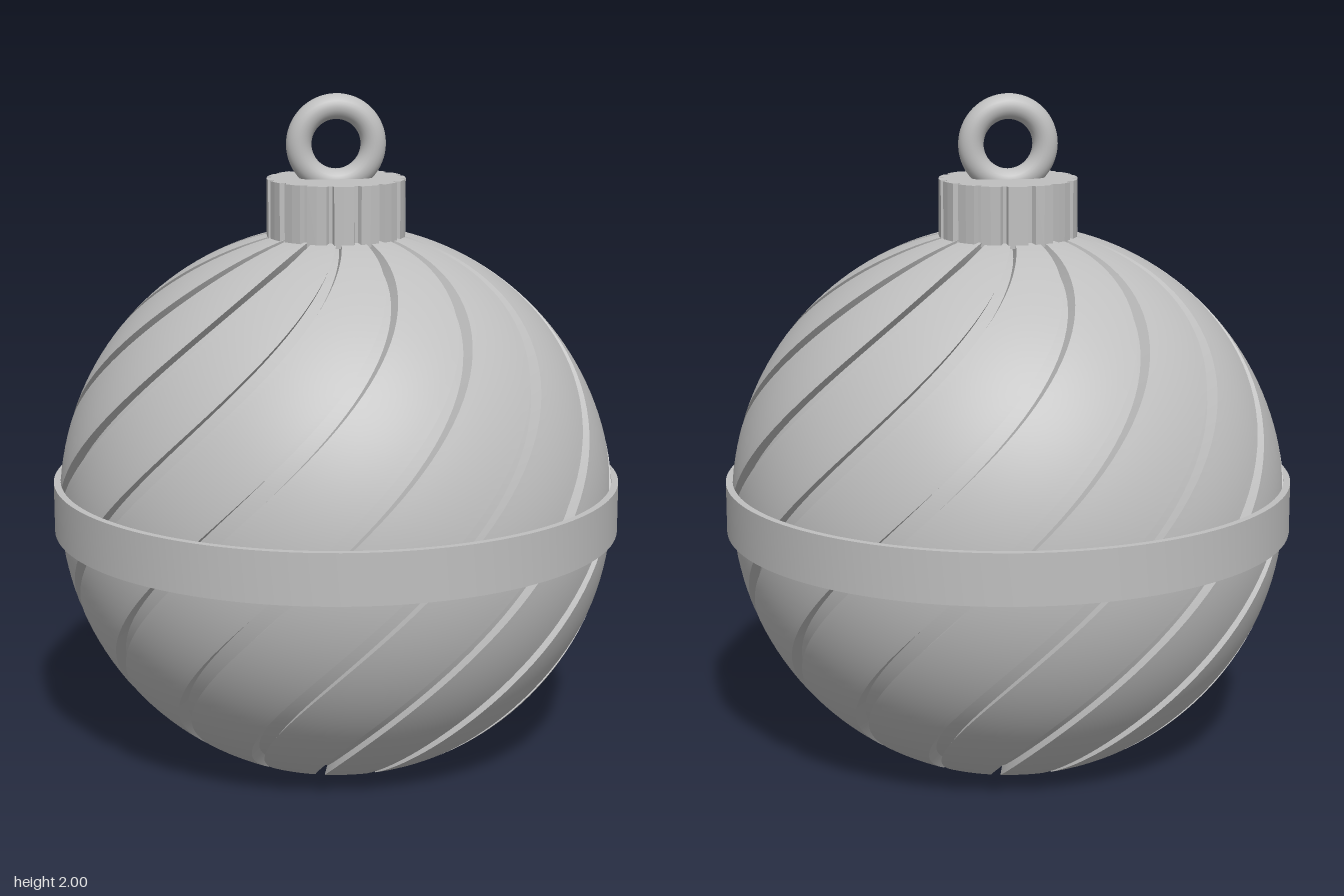
import * as THREE from 'three';
import { mergeGeometries, toCreasedNormals } from 'three/addons/utils/BufferGeometryUtils.js';

const R = 0.84, CENTER_Y = 0.765, TOP_Y = 1.583;   // bauble sphere, cut flat at y = 0
const GROOVES = 14, DEPTH = 0.03, TWIST = 1.25;    // twist in radians per unit of height
const PITCH = (Math.PI * 2) / GROOVES;
const HALF = 0.04;                                 // half the groove angle
const PHASE = -0.09;                               // groove angle at y = 0.85
const ROWS = 64;

// Point on the twisted ball: angle from the front, height and depth below the surface
function ballPoint(angle, y, depth) {
  const h = y - CENTER_Y;
  const r = Math.sqrt(Math.max((R - depth) ** 2 - h * h, 0.0004));
  const a = angle + PHASE + TWIST * (y - 0.85);
  return [r * Math.sin(a), y, r * Math.cos(a)];
}

function buildGeometry(positions, index) {
  const g = new THREE.BufferGeometry();
  g.setAttribute('position', new THREE.Float32BufferAttribute(positions, 3));
  g.setIndex(index);
  g.computeVertexNormals();
  return g;
}

// Twisted strip through a list of [angle, depth] columns
function strip(columns) {
  const positions = [], index = [], n = columns.length;
  const t0 = Math.asin(-CENTER_Y / R), t1 = Math.asin((TOP_Y - CENTER_Y) / R);
  for (let j = 0; j <= ROWS; j++) {
    const y = CENTER_Y + R * Math.sin(t0 + ((t1 - t0) * j) / ROWS);
    for (const [a, d] of columns) positions.push(...ballPoint(a, y, d));
  }
  for (let j = 0; j < ROWS; j++) {
    for (let i = 0; i < n - 1; i++) {
      const a = j * n + i, b = a + 1, c = a + n, d = c + 1;
      index.push(a, b, d, a, d, c);
    }
  }
  return buildGeometry(positions, index);
}

export function createModel() {
  const group = new THREE.Group();
  const grey = new THREE.MeshStandardMaterial({ color: 0xbfbfbf });
  grey.name = 'grey';
  const add = (name, geometry) => {
    const mesh = new THREE.Mesh(geometry, grey);
    mesh.name = name;
    group.add(mesh);
    return mesh;
  };

  // Ball panels, spiral grooves and the notched outline of the base
  const panels = [], grooves = [], outline = [];
  for (let k = 0; k < GROOVES; k++) {
    const mid = k * PITCH, left = mid - HALF, right = mid + HALF;
    const panel = [];
    for (let i = 0; i <= 10; i++) panel.push([right + ((PITCH - 2 * HALF) * i) / 10, 0]);
    panels.push(strip(panel));
    grooves.push(
      strip([[left, 0], [left, DEPTH]]),
      strip([[left, DEPTH], [mid, DEPTH], [right, DEPTH]]),
      strip([[right, DEPTH], [right, 0]])
    );
    outline.push([left, DEPTH], [right, DEPTH], ...panel);
  }
  add('ballPanels', mergeGeometries(panels));
  add('spiralGrooves', mergeGeometries(grooves));

  // Flat base
  const base = [0, 0, 0], baseIndex = [];
  outline.forEach(([a, d], i) => {
    base.push(...ballPoint(a, 0, d));
    baseIndex.push(0, ((i + 1) % outline.length) + 1, i + 1);
  });
  add('flatBase', buildGeometry(base, baseIndex));

  // Belt around the middle
  const belt = [[0.836, 0.69], [0.857, 0.69], [0.857, 0.842], [0.836, 0.842], [0.836, 0.69]]
    .map(([x, y]) => new THREE.Vector2(x, y));
  add('belt', toCreasedNormals(new THREE.LatheGeometry(belt, 128), 0.6));

  // Fluted cap
  const cap = new THREE.Shape(), TEETH = 16;
  for (let k = 0; k < TEETH; k++) {
    [[-0.36, 0.207], [0, 0.207], [0.36, 0.207], [0.43, 0.192], [0.57, 0.192]].forEach(([u, r], i) => {
      const a = ((k + u) / TEETH) * Math.PI * 2;
      const x = r * Math.cos(a), y = r * Math.sin(a);
      if (k === 0 && i === 0) cap.moveTo(x, y);
      else cap.lineTo(x, y);
    });
  }
  const capGeometry = new THREE.ExtrudeGeometry(cap, { depth: 0.18, bevelEnabled: false });
  capGeometry.rotateX(-Math.PI / 2);
  add('cap', capGeometry).position.y = 1.57;

  // Hanging ring
  add('hangingRing', new THREE.TorusGeometry(0.111, 0.038, 24, 64)).position.y = 1.851;

  return group;
}
